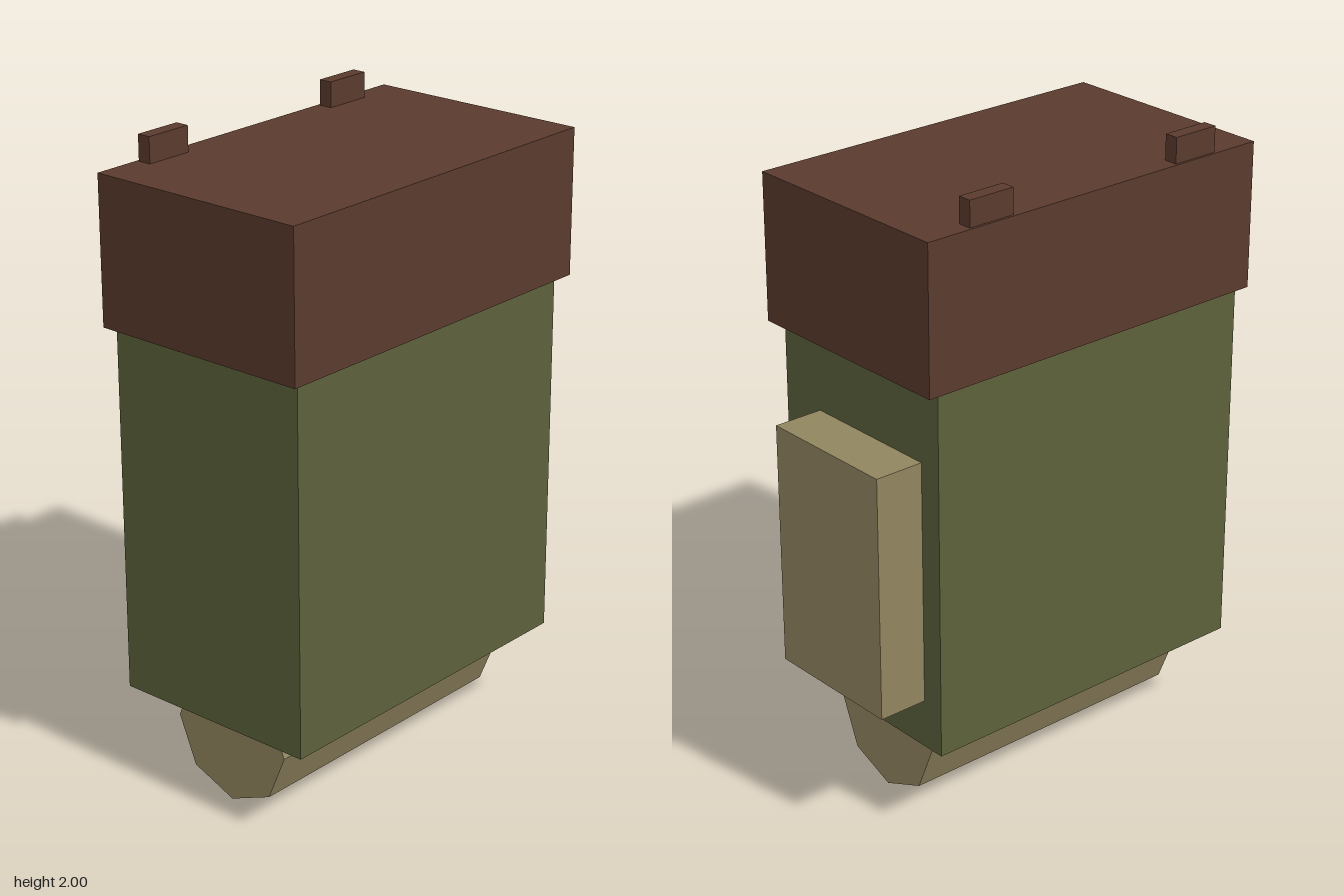
import * as THREE from 'three';

const material = (name, color) => {
  const m = new THREE.MeshStandardMaterial({ color });
  m.name = name;
  return m;
};

export function createModel() {
  const group = new THREE.Group();
  const canvas = material('olive canvas', 0x5c613b);
  const leather = material('brown leather', 0x5a3a2d);
  const khaki = material('khaki cloth', 0x91855f);

  // Box given by its lowest and highest corners
  const addBox = (name, mat, [x0, y0, z0], [x1, y1, z1]) => {
    const mesh = new THREE.Mesh(new THREE.BoxGeometry(x1 - x0, y1 - y0, z1 - z0), mat);
    mesh.position.set((x0 + x1) / 2, (y0 + y1) / 2, (z0 + z1) / 2);
    mesh.name = name;
    group.add(mesh);
  };

  // Pack body, overhanging lid and side pocket
  addBox('body', canvas, [-0.64, 0.295, -0.355], [0.52, 1.47, 0.34]);
  addBox('lid', leather, [-0.68, 1.46, -0.368], [0.56, 1.92, 0.368]);
  addBox('sidePocket', khaki, [0.51, 0.45, -0.28], [0.68, 1.225, 0.183]);

  // Strap tabs at the back of the lid
  for (const x of [-0.447, 0.328]) {
    addBox('strapTab', leather, [x - 0.078, 1.91, -0.36], [x + 0.078, 2, -0.316]);
  }

  // Eight-sided bedroll lying across the underside, one edge down
  const rollGeometry = new THREE.CylinderGeometry(0.213, 0.213, 1.01, 8).toNonIndexed();
  rollGeometry.rotateZ(Math.PI / 2);
  rollGeometry.computeVertexNormals();
  const roll = new THREE.Mesh(rollGeometry, khaki);
  roll.position.set(-0.06, 0.215, -0.006);
  roll.name = 'bedroll';
  group.add(roll);

  return group;
}
